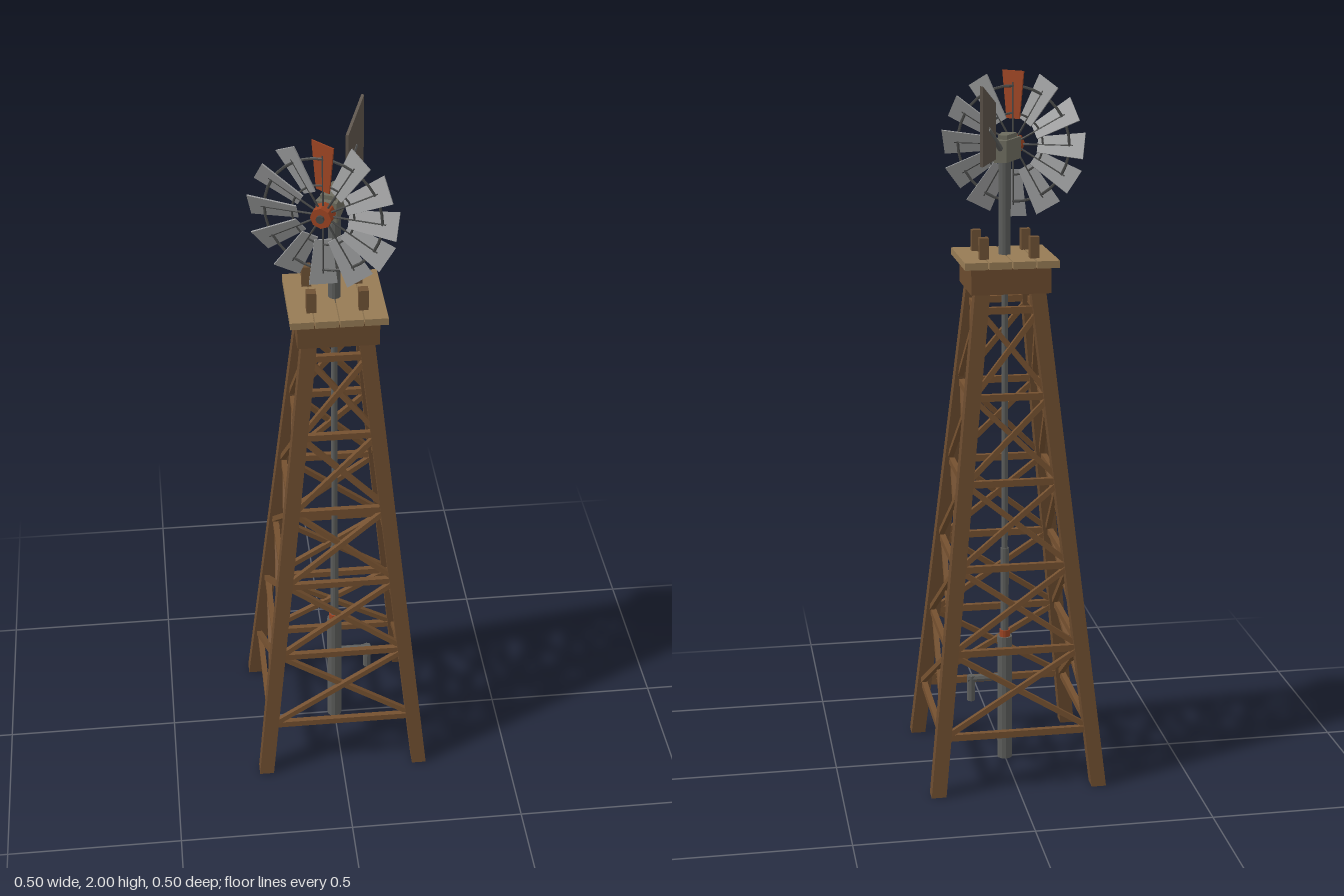
import * as THREE from 'three';

const mat = (color, side = THREE.FrontSide) =>
  new THREE.MeshStandardMaterial({ color, side, flatShading: true });
const wood = mat(0x6b4b2e), brace = mat(0x74502f), plank = mat(0x967b55), post = mat(0x6f5235);
const steel = mat(0x5c5d5b), dark = mat(0x454645), blade = mat(0x9b9c9d);
const red = mat(0x9a4322), housing = mat(0x6c6b5e), vaneMat = mat(0x5b5249);

function add(parent, name, geometry, material, x = 0, y = 0, z = 0) {
  const mesh = new THREE.Mesh(geometry, material);
  mesh.name = name;
  mesh.position.set(x, y, z);
  parent.add(mesh);
  return mesh;
}

// Bar or rod running between two points
function between(parent, name, a, b, material, w, round = false) {
  const from = new THREE.Vector3(...a), to = new THREE.Vector3(...b);
  const dir = to.clone().sub(from), len = dir.length();
  const geo = round ? new THREE.CylinderGeometry(w, w, len, 8) : new THREE.BoxGeometry(w, len, w);
  const mesh = add(parent, name, geo, material);
  mesh.position.copy(from).add(to).multiplyScalar(0.5);
  mesh.quaternion.setFromUnitVectors(new THREE.Vector3(0, 1, 0), dir.normalize());
  return mesh;
}

// Distance of a leg's centre line from the axis at height y
const legAt = (y) => 0.231 - 0.108 * y;

function buildTower(root) {
  const tower = new THREE.Group();
  tower.name = 'tower';
  root.add(tower);

  // Four square legs leaning inward
  const top = 1.48;
  for (const sx of [-1, 1]) for (const sz of [-1, 1]) {
    const geo = new THREE.BoxGeometry(0.042, top, 0.042).translate(0, top / 2, 0);
    const p = geo.attributes.position;
    for (let i = 0; i < p.count; i++) {
      const d = legAt(p.getY(i));
      p.setX(i, p.getX(i) + sx * d);
      p.setZ(i, p.getZ(i) + sz * d);
    }
    geo.computeVertexNormals();
    add(tower, 'leg', geo, wood);
  }

  // Girts and crossed braces on each face
  const levels = [0.165, 0.405, 0.645, 0.885, 1.125, 1.365];
  for (let f = 0; f < 4; f++) {
    const face = new THREE.Group();
    face.name = 'bracedFace';
    face.rotation.y = f * Math.PI / 2;
    tower.add(face);
    levels.forEach((y, i) => {
      const d = legAt(y);
      add(face, 'girt', new THREE.BoxGeometry(2 * d, 0.019, 0.016), brace, 0, y, d);
      if (i === levels.length - 1) return;
      const y2 = levels[i + 1], d2 = legAt(y2);
      for (const s of [-1, 1]) {
        const off = s * 0.005;
        between(face, 'crossBrace', [-s * d, y, d + off], [s * d2, y2, d2 + off], brace, 0.015);
      }
    });
    // Apron board under the platform
    add(face, 'apronBoard', new THREE.BoxGeometry(0.222, 0.072, 0.02), wood, 0, 1.45, 0.101);
  }

  // Platform planks with narrow gaps, and short corner posts
  for (let i = 0; i < 4; i++)
    add(tower, 'platformPlank', new THREE.BoxGeometry(0.063, 0.02, 0.262), plank, (i - 1.5) * 0.0663, 1.497, 0);
  for (const x of [-0.07, 0.07]) for (const z of [-0.07, 0.07])
    add(tower, 'cornerPost', new THREE.BoxGeometry(0.026, 0.06, 0.026), post, x, 1.536, z);
}

function buildPump(root) {
  const pump = new THREE.Group();
  pump.name = 'pump';
  root.add(pump);
  const pipe = (name, r, y0, y1, m) =>
    add(pump, name, new THREE.CylinderGeometry(r, r, y1 - y0, 12), m, 0, (y0 + y1) / 2, 0);
  pipe('pumpBarrel', 0.022, 0, 0.38, steel);
  pipe('barrelCollar', 0.016, 0.38, 0.4, red);
  pipe('riserPipe', 0.012, 0.4, 0.65, steel);
  pipe('pumpRod', 0.009, 0.65, 1.5, steel);
  pipe('mast', 0.017, 1.42, 1.78, steel);
  // Spout reaching out and turning down
  between(pump, 'spoutArm', [0.01, 0.253, 0], [0.11, 0.253, 0], steel, 0.011, true);
  between(pump, 'spoutMouth', [0.1, 0.262, 0], [0.1, 0.185, 0], steel, 0.012, true);
}

function buildWheel(head) {
  const wheel = new THREE.Group();
  wheel.name = 'windWheel';
  wheel.position.z = 0.095;
  head.add(wheel);

  // Tapered, pitched sails
  const shape = new THREE.Shape([[-0.023, 0.07], [0.023, 0.07], [0.038, 0.202], [-0.038, 0.202]]
    .map(([x, y]) => new THREE.Vector2(x, y)));
  const sailGeo = new THREE.ExtrudeGeometry(shape, { depth: 0.004, bevelEnabled: false }).translate(0, 0, -0.002);
  for (let i = 0; i < 12; i++) {
    const arm = new THREE.Group();
    arm.name = 'sailArm';
    arm.rotation.z = i * Math.PI / 6;
    wheel.add(arm);
    add(arm, 'sail', sailGeo, i === 0 ? red : blade).rotation.y = -0.44;
    between(arm, 'spoke', [0, 0.015, 0], [0, 0.17, 0], dark, 0.003, true);
  }
  // Binding rings
  add(wheel, 'outerRing', new THREE.TorusGeometry(0.16, 0.004, 6, 36), dark);
  add(wheel, 'innerRing', new THREE.TorusGeometry(0.085, 0.003, 6, 30), dark);
  // Hub and axle
  between(wheel, 'hub', [0, 0, -0.02], [0, 0, 0.02], red, 0.029, true);
  between(wheel, 'axle', [0, 0, -0.06], [0, 0, 0.028], dark, 0.011, true);
}

function buildHead(root) {
  const head = new THREE.Group();
  head.name = 'turningHead';
  head.position.y = 1.8;
  head.rotation.y = -0.42;
  root.add(head);

  // Gearbox, wider toward the wheel, with a raised lid
  const tapered = (name, y, h, z0, z1, w0, w1) => {
    const shape = new THREE.Shape([[-w0, -z0], [w0, -z0], [w1, -z1], [-w1, -z1]]
      .map(([x, v]) => new THREE.Vector2(x, v)).reverse());
    const geo = new THREE.ExtrudeGeometry(shape, { depth: h, bevelEnabled: false });
    add(head, name, geo.rotateX(-Math.PI / 2), housing, 0, y, 0);
  };
  tapered('gearbox', -0.035, 0.06, -0.05, 0.07, 0.018, 0.029);
  tapered('gearboxLid', 0.025, 0.012, -0.025, 0.055, 0.013, 0.021);

  // Tail boom and vane
  between(head, 'tailBoom', [0, 0, -0.04], [0, 0.07, -0.18], steel, 0.008, true);
  const vane = new THREE.Shape([[0.108, -0.018], [0.244, -0.022], [0.244, 0.188], [0.108, 0.132]]
    .map(([x, y]) => new THREE.Vector2(x, y)));
  const vaneGeo = new THREE.ExtrudeGeometry(vane, { depth: 0.008, bevelEnabled: false });
  add(head, 'tailVane', vaneGeo.translate(0, 0, -0.004).rotateY(Math.PI / 2), vaneMat);

  buildWheel(head);
}

export function createModel() {
  const model = new THREE.Group();
  model.name = 'waterPumpingWindmill';
  buildTower(model);
  buildPump(model);
  buildHead(model);
  return model;
}
